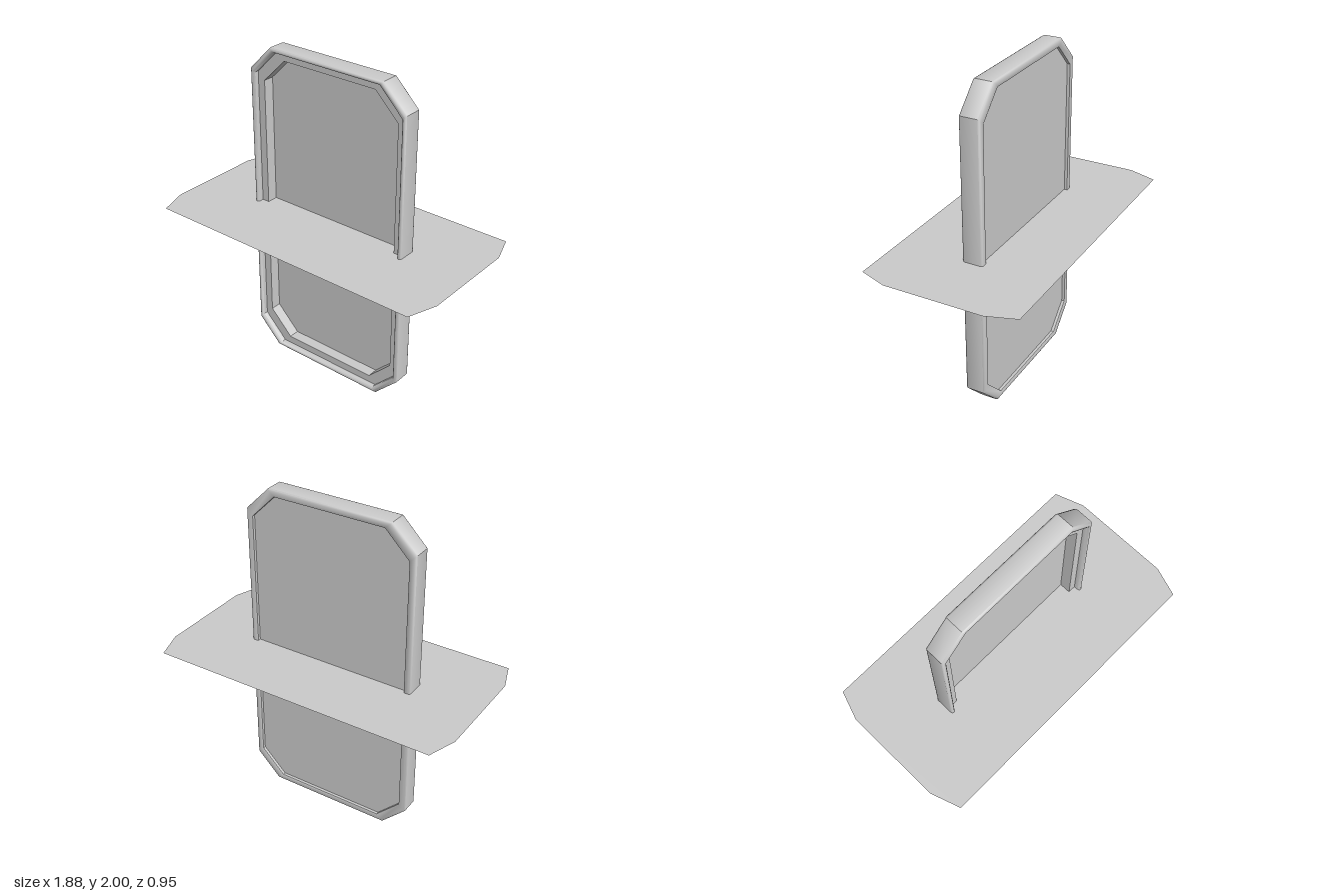
import * as THREE from 'three';
import { toCreasedNormals } from 'three/addons/utils/BufferGeometryUtils.js';

const HALF_W = 0.537, HALF_H = 1, CHAMFER = 0.15, MID_Y = 1;

// Eight corners of a chamfered rectangle, counter-clockwise
function octagon(w, h, cx, cy) {
  return [
    [w, -h + cy], [w, h - cy], [w - cx, h], [-w + cx, h],
    [-w, h - cy], [-w, -h + cy], [-w + cx, -h], [w - cx, -h],
  ].map(([x, y]) => new THREE.Vector2(x, y));
}

// Frame outline moved inward by d
const outline = (d) => octagon(HALF_W - d, HALF_H - d, CHAMFER, CHAMFER);

// Sweep a profile of [inset, z] points round the frame outline
function sweepFrame(profile) {
  const rings = profile.map(([d, z]) => outline(d).map((p) => [p.x, p.y, z]));
  const positions = [];
  for (let j = 0; j < rings.length - 1; j++) {
    for (let i = 0; i < 8; i++) {
      const k = (i + 1) % 8;
      const a = rings[j][i], b = rings[j][k], c = rings[j + 1][k], d = rings[j + 1][i];
      positions.push(...a, ...b, ...c, ...a, ...c, ...d);
    }
  }
  const geometry = new THREE.BufferGeometry();
  geometry.setAttribute('position', new THREE.Float32BufferAttribute(positions, 3));
  return toCreasedNormals(geometry, THREE.MathUtils.degToRad(40));
}

export function createModel() {
  const group = new THREE.Group();
  const material = new THREE.MeshStandardMaterial({ color: 0xcccccc, side: THREE.DoubleSide });
  const add = (name, geometry) => {
    const mesh = new THREE.Mesh(geometry, material);
    mesh.name = name;
    mesh.position.y = MID_Y;
    group.add(mesh);
    return mesh;
  };

  // Frame: shallow back lip, rounded outer edges, front rim and stepped recess
  const panelZ = -0.042;
  add('frame', sweepFrame([
    [0.04, panelZ], [0.04, -0.06], [0.036, -0.063], [0.012, -0.063], [0.004, -0.059], [0, -0.051],
    [0, 0.051], [0.004, 0.059], [0.01, 0.063], [0.016, 0.063], [0.022, 0.059], [0.026, 0.051],
    [0.026, 0.025], [0.072, 0.025], [0.072, panelZ],
  ]));

  // Thin panel closing the frame
  const panel = add('panel', new THREE.ShapeGeometry(new THREE.Shape(outline(0.04))));
  panel.position.z = panelZ;

  // Flat horizontal sheet through the middle
  const sheet = new THREE.ShapeGeometry(new THREE.Shape(octagon(0.94, 0.475, 0.06, 0.175)));
  add('horizontalSheet', sheet.rotateX(-Math.PI / 2));

  return group;
}
